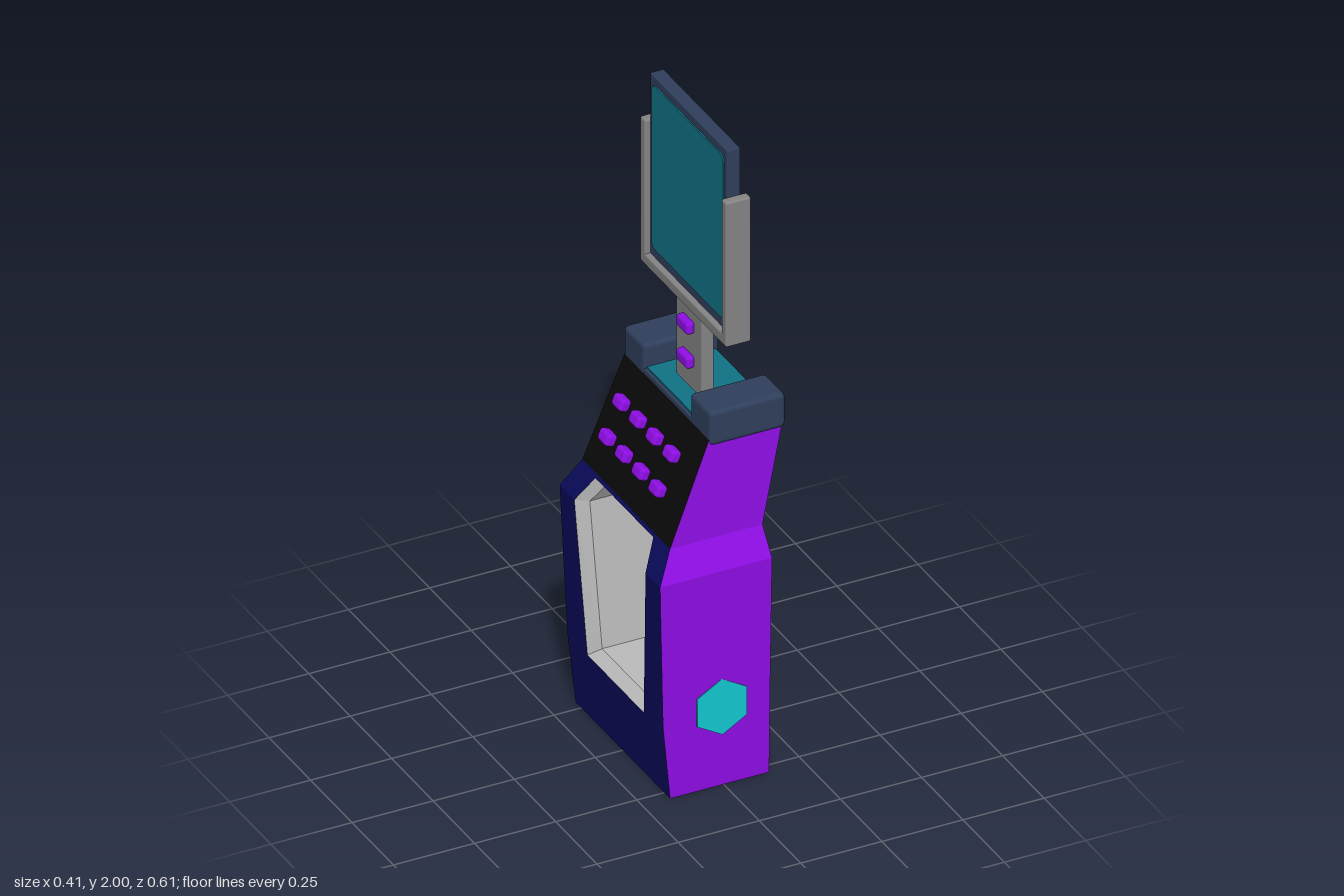
import * as THREE from 'three';
import { RoundedBoxGeometry } from 'three/addons/geometries/RoundedBoxGeometry.js';

function mat(name, color, side = THREE.FrontSide) {
  const m = new THREE.MeshStandardMaterial({ color, side });
  m.name = name;
  return m;
}

// Body cross-sections: height, right x, left x, half depth in z
const LEVELS = [
  [0, -0.165, 0.14, 0.285],
  [0.245, -0.19, 0.14, 0.29],
  [0.70, -0.205, 0.14, 0.303],
  [0.79, -0.155, 0.13, 0.265],
  [1.10, -0.03, 0.197, 0.255],
];

function section(y) {
  let i = 0;
  while (i < LEVELS.length - 2 && y > LEVELS[i + 1][0]) i++;
  const a = LEVELS[i], b = LEVELS[i + 1];
  const t = (y - a[0]) / (b[0] - a[0]);
  const [x0, x1, z] = [1, 2, 3].map((k) => a[k] + (b[k] - a[k]) * t);
  return { x0, x1, z };
}

// Window outline as [y, half width], widened by f
const windowRows = (f) => [[0.245 - f, 0.145 + f], [0.70, 0.19 + f], [0.77 + 0.4 * f, 0.15 + f]];

function quadGeometry(quads) {
  const pos = [];
  for (const [a, b, c, d] of quads) pos.push(...a, ...b, ...c, ...a, ...c, ...d);
  const g = new THREE.BufferGeometry();
  g.setAttribute('position', new THREE.Float32BufferAttribute(pos, 3));
  g.computeVertexNormals();
  return g;
}

// Wall facing z
function endWall(s) {
  const quads = [];
  for (let i = 0; i < LEVELS.length - 1; i++) {
    const [ya, a0, a1, az] = LEVELS[i], [yb, b0, b1, bz] = LEVELS[i + 1];
    const q = [[a0, ya, s * az], [a1, ya, s * az], [b1, yb, s * bz], [b0, yb, s * bz]];
    quads.push(s > 0 ? q : q.reverse());
  }
  return quadGeometry(quads);
}

// Wall facing x, between two heights, with the window left open
function sideWall(s, yMin, yMax, flare) {
  const rows = windowRows(flare);
  const ys = [0, rows[0][0], rows[1][0], rows[2][0], 0.79, 1.10].filter((y) => y >= yMin && y <= yMax);
  const point = (y, z) => [s > 0 ? section(y).x1 : section(y).x0, y, z];
  const quads = [];
  const add = (ya, yb, la, ra, lb, rb) => {
    const q = [point(ya, la), point(ya, ra), point(yb, rb), point(yb, lb)];
    quads.push(s > 0 ? q : q.reverse());
  };
  for (let i = 0; i < ys.length - 1; i++) {
    const ya = ys[i], yb = ys[i + 1], za = section(ya).z, zb = section(yb).z;
    const ra = rows.find((r) => r[0] === ya), rb = rows.find((r) => r[0] === yb);
    if (ra && rb) {
      add(ya, yb, za, ra[1], zb, rb[1]);
      add(ya, yb, -ra[1], -za, -rb[1], -zb);
    } else add(ya, yb, za, -za, zb, -zb);
  }
  return quadGeometry(quads);
}

// Inside of the window: flared mouths joined by a straight passage
function passage(flareRight, flareLeft) {
  const loop = (flare, xAt) => {
    const r = windowRows(flare);
    const half = r.map(([y, z]) => [xAt(y), y, z]);
    return [...half, ...half.slice().reverse().map(([x, y, z]) => [x, y, -z])];
  };
  const loops = [
    loop(flareRight, (y) => section(y).x0),
    loop(0, (y) => section(y).x0 + 0.035),
    loop(0, (y) => section(y).x1 - 0.025),
    loop(flareLeft, (y) => section(y).x1),
  ];
  const quads = [];
  for (let i = 0; i < 3; i++) {
    for (let j = 0; j < 6; j++) {
      const k = (j + 1) % 6;
      quads.push([loops[i][j], loops[i][k], loops[i + 1][k], loops[i + 1][j]]);
    }
  }
  return quadGeometry(quads);
}

// Thin screen plate with rounded corners
function screenPlate(w, h, r, depth) {
  const s = new THREE.Shape();
  const x = w / 2, y = h / 2;
  s.moveTo(-x + r, -y);
  s.lineTo(x - r, -y); s.quadraticCurveTo(x, -y, x, -y + r);
  s.lineTo(x, y - r); s.quadraticCurveTo(x, y, x - r, y);
  s.lineTo(-x + r, y); s.quadraticCurveTo(-x, y, -x, y - r);
  s.lineTo(-x, -y + r); s.quadraticCurveTo(-x, -y, -x + r, -y);
  const g = new THREE.ExtrudeGeometry(s, { depth, bevelEnabled: false });
  return g.translate(0, 0, -depth / 2).rotateY(Math.PI / 2);
}

export function createModel() {
  const model = new THREE.Group();
  const both = THREE.DoubleSide;
  const purple = mat('purple', 0x8f0ee6, both);
  const slate = mat('slate blue', 0x2f3f5c, both);
  const shell = mat('light grey', 0xbcbcbc, both);
  const steel = mat('steel grey', 0x858585);
  const navy = mat('dark navy', 0x0a0a5e, both);
  const black = mat('black', 0x0a0a0a, both);
  const teal = mat('teal', 0x107386);
  const cyan = mat('cyan', 0x12c6d0);

  const add = (name, geometry, material, x = 0, y = 0, z = 0, parent = model) => {
    const m = new THREE.Mesh(geometry, material);
    m.name = name;
    m.position.set(x, y, z);
    parent.add(m);
    return m;
  };
  // Rounded box from its limits
  const block = (name, material, [x0, x1], [y0, y1], [z0, z1], r = 0.006) =>
    add(name, new RoundedBoxGeometry(x1 - x0, y1 - y0, z1 - z0, 2, r), material,
      (x0 + x1) / 2, (y0 + y1) / 2, (z0 + z1) / 2);

  // Body shell, open underneath
  add('frontWall', endWall(1), purple);
  add('backWall', endWall(-1), slate);
  add('leftWall', sideWall(1, 0, 1.1, 0.015), shell);
  add('rightWall', sideWall(-1, 0, 0.79, 0.025), navy);
  add('buttonPanel', sideWall(-1, 0.79, 1.1, 0.025), black);
  add('windowPassage', passage(0.025, 0.015), shell);

  // Hexagonal badges on both ends
  for (const s of [1, -1]) {
    const hex = new THREE.CylinderGeometry(0.088, 0.088, 0.008, 6).rotateX(Math.PI / 2);
    add('hexPlate', hex, cyan, -0.01, 0.258, s * 0.292).rotation.x = -s * 0.028;
  }

  // Two rods standing in the window
  for (const z of [0.06, -0.06]) {
    const rod = new THREE.Group();
    rod.name = 'rod';
    rod.position.z = z;
    model.add(rod);
    const part = (name, r, y0, y1, sides) =>
      add(name, new THREE.CylinderGeometry(r, r, y1 - y0, sides), purple, 0, (y0 + y1) / 2, 0, rod);
    part('rodShaft', 0.025, 0.245, 0.77, 16);
    part('rodTop', 0.039, 0.665, 0.77, 16);
    part('rodCollar', 0.049, 0.485, 0.535, 16);
    part('rodFoot', 0.047, 0.245, 0.348, 6);
  }

  // Button rows on the sloping panel
  for (const [x, y] of [[-0.145, 0.93], [-0.102, 1.03]]) {
    for (const z of [-0.133, -0.032, 0.069, 0.17]) {
      const b = add('panelButton', new RoundedBoxGeometry(0.034, 0.038, 0.056, 3, 0.011), purple, x, y, z);
      b.rotation.z = -0.39;
    }
  }

  // Cap with raised ends and a teal tray
  block('capBase', slate, [-0.028, 0.2], [1.082, 1.114], [-0.255, 0.255]);
  for (const s of [1, -1]) {
    const z = [s * 0.138, s * 0.262].sort((a, b) => a - b);
    block('capEnd', slate, [-0.03, 0.204], [1.08, 1.19], z, 0.014);
  }
  add('capTray', new THREE.BoxGeometry(0.212, 0.006, 0.276), teal, 0.086, 1.116, 0);

  // Post and its buttons
  block('post', steel, [0.038, 0.076], [1.1, 1.4], [-0.077, 0.077], 0.003);
  for (const y of [1.21, 1.32]) {
    block('postButton', purple, [0.014, 0.042], [y - 0.02, y + 0.02], [-0.035, 0.035], 0.011);
  }

  // Display holder and screen
  block('holderBase', steel, [0.02, 0.098], [1.385, 1.42], [-0.258, 0.258]);
  for (const s of [1, -1]) {
    const z = [s * 0.23, s * 0.26].sort((a, b) => a - b);
    block('holderArm', steel, [0.02, 0.098], [1.385, 1.85], z);
  }
  block('display', slate, [0.037, 0.079], [1.41, 2], [-0.232, 0.232], 0.004);
  for (const x of [0.036, 0.08]) {
    add('screen', screenPlate(0.43, 0.525, 0.022, 0.006), teal, x, 1.712, 0);
  }
  return model;
}
